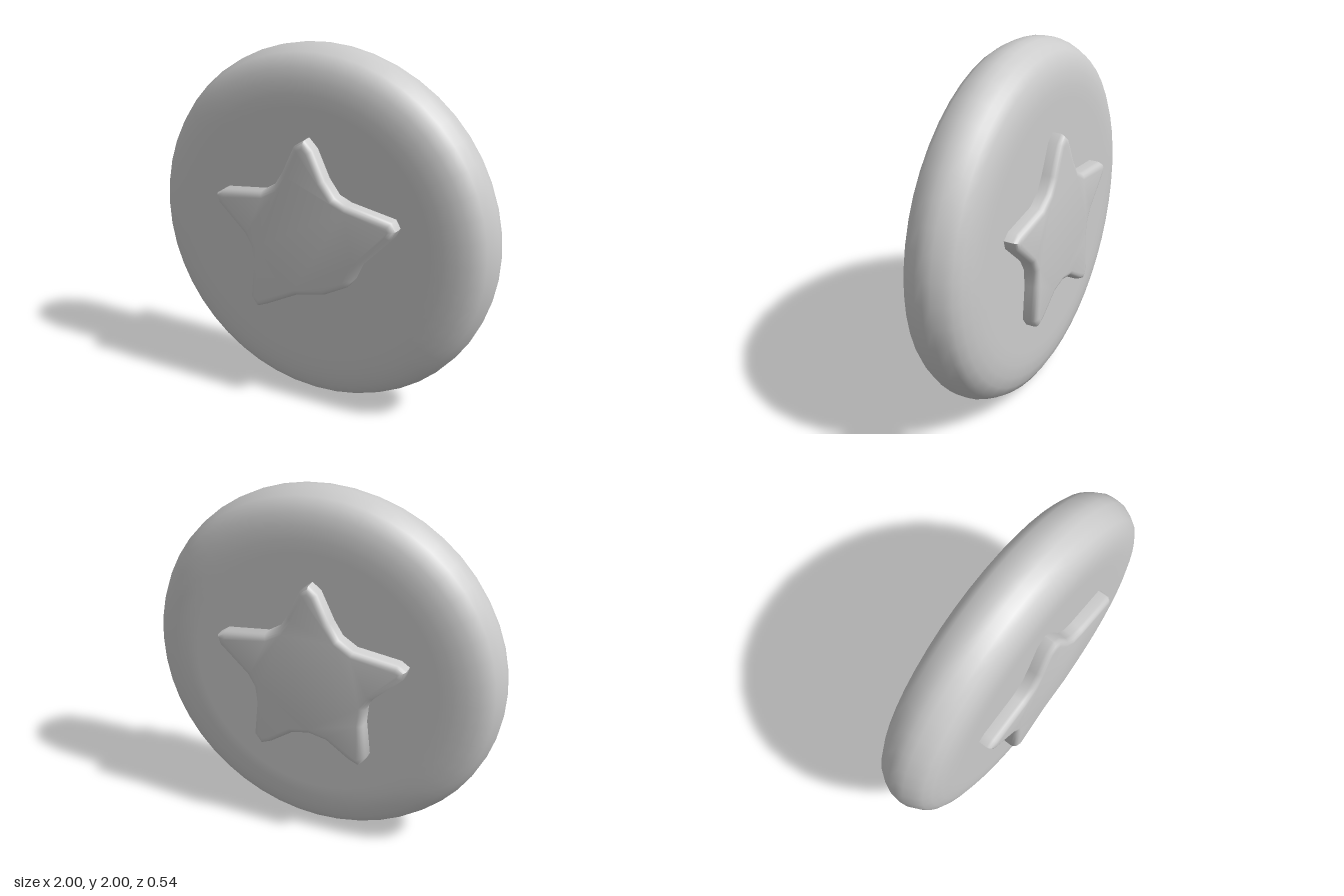
import * as THREE from 'three';
import { toCreasedNormals } from 'three/addons/utils/BufferGeometryUtils.js';

const V = (x, y) => new THREE.Vector2(x, y);

// Upper part of the star outline, left side running down to the lower left tip
const leftSide = [
  [-0.05, 1.51], [-0.12, 1.36], [-0.17, 1.28], [-0.25, 1.23], [-0.49, 1.2], [-0.535, 1.17],
  [-0.52, 1.12], [-0.36, 0.97], [-0.32, 0.9], [-0.31, 0.8], [-0.33, 0.6], [-0.29, 0.545],
];
// The front star has a blunted lower right arm
const frontLower = [[-0.23, 0.57], [-0.04, 0.67], [0.13, 0.71], [0.26, 0.78], [0.29, 0.82], [0.33, 0.91]];
const rightArm = [[0.51, 1.1], [0.535, 1.15], [0.51, 1.195], [0.26, 1.24], [0.19, 1.27], [0.13, 1.35], [0.06, 1.5], [0.01, 1.55]];
const backLower = [[-0.23, 0.57], [-0.1, 0.66], [0, 0.68], [0.1, 0.66], [0.23, 0.57]];
const mirrored = leftSide.map(([x, y]) => [-x, y]).reverse();

// Raised star with a rounded front edge, reaching from inside the disc to z = 0.268
function starGeometry(points) {
  const shape = new THREE.Shape(points.map(([x, y]) => V(x, y)));
  const bevel = 0.033;
  const geometry = new THREE.ExtrudeGeometry(shape, {
    depth: 0.1, bevelEnabled: true, bevelThickness: bevel, bevelSize: bevel,
    bevelOffset: -bevel, bevelSegments: 4,
  });
  geometry.translate(0, 0, 0.268 - 0.1 - bevel);
  return toCreasedNormals(geometry, 0.9);
}

export function createModel() {
  const group = new THREE.Group();
  const grey = new THREE.MeshStandardMaterial({ color: 0xcccccc });
  grey.name = 'plain grey';

  const add = (name, geometry) => {
    const mesh = new THREE.Mesh(geometry, grey);
    mesh.name = name;
    group.add(mesh);
    return mesh;
  };

  // Thick round disc with a soft rim
  const half = [[0.995, 0.045], [0.97, 0.1], [0.945, 0.135], [0.9, 0.162], [0.84, 0.18], [0.77, 0.187], [0.7, 0.188], [0, 0.188]];
  const profile = [
    ...half.map(([r, h]) => V(r, -h)).reverse(),
    V(1, 0),
    ...half.map(([r, h]) => V(r, h)),
  ];
  const disc = new THREE.LatheGeometry(profile, 48);
  disc.rotateX(Math.PI / 2);
  disc.translate(0, 1, 0);
  add('disc', disc);

  add('frontStar', starGeometry([...leftSide, ...frontLower, ...rightArm]));

  // Full five-armed star on the back
  const back = starGeometry([...leftSide, ...backLower, ...mirrored, [0, 1.55]]);
  back.rotateY(Math.PI);
  add('backStar', back);

  return group;
}
